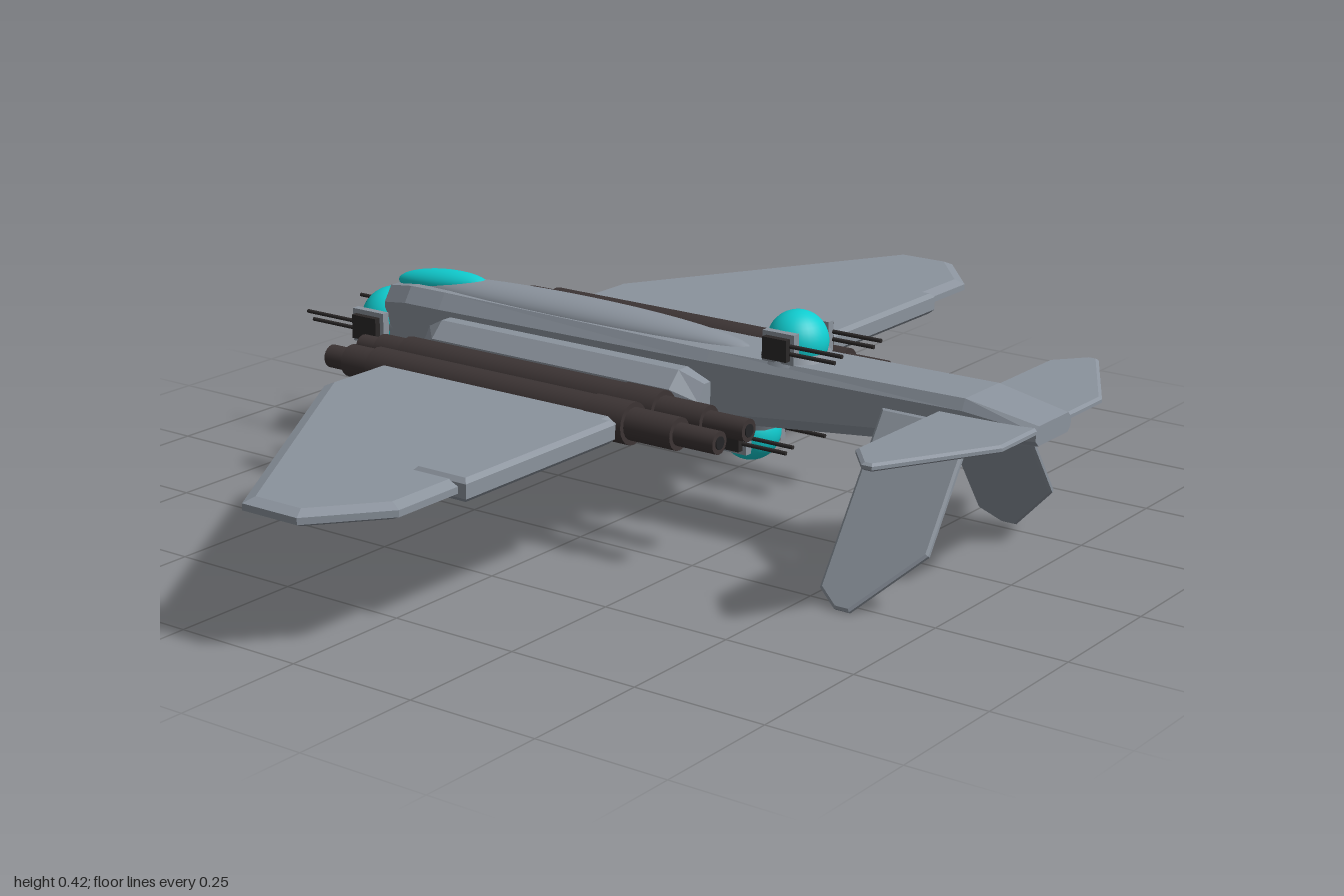
import * as THREE from 'three';

const mat = (name, color) => new THREE.MeshStandardMaterial({ name, color });

export function createModel() {
  const model = new THREE.Group();
  model.name = 'gunship';
  const hull = mat('hull grey', 0x8b939d);
  const podMat = mat('pod brown', 0x3c3434);
  const glass = mat('cyan glass', 0x10cdd0);
  const gunMat = mat('gun metal', 0x2b2828);
  const bayMat = mat('bay black', 0x252527);

  const add = (name, geo, material, parent = model, x = 0, y = 0, z = 0) => {
    const m = new THREE.Mesh(geo, material);
    m.name = name;
    m.position.set(x, y, z);
    parent.add(m);
    return m;
  };

  // Chamfered-box loft; rows are [z, half width, bottom, top, top chamfer x, y, bottom chamfer x, y]
  const loft = (rows) => {
    const rings = rows.map(([z, w, b, t, tx, ty, bx, by]) => [
      [w, b + by], [w, t - ty], [w - tx, t], [tx - w, t],
      [-w, t - ty], [-w, b + by], [bx - w, b], [w - bx, b],
    ].map(([x, y]) => [x, y, z]));
    const p = [];
    const tri = (...v) => v.forEach((c) => p.push(...c));
    for (let i = 0; i < rings.length - 1; i++) {
      const a = rings[i], c = rings[i + 1];
      for (let j = 0; j < 8; j++) {
        const k = (j + 1) % 8;
        tri(a[j], a[k], c[k]);
        tri(a[j], c[k], c[j]);
      }
    }
    const first = rings[0], last = rings[rings.length - 1];
    for (let j = 1; j < 7; j++) {
      tri(first[0], first[j + 1], first[j]);
      tri(last[0], last[j], last[j + 1]);
    }
    const g = new THREE.BufferGeometry();
    g.setAttribute('position', new THREE.Float32BufferAttribute(p, 3));
    g.computeVertexNormals();
    return g;
  };

  // Flat bevelled plate from an x-z outline, centred on y = 0
  const plate = (pts, thick, bevelH, bevelW) => {
    const shape = new THREE.Shape(pts.map(([x, z]) => new THREE.Vector2(x, z)));
    const g = new THREE.ExtrudeGeometry(shape, {
      depth: thick - 2 * bevelH, bevelEnabled: true, bevelThickness: bevelH,
      bevelSize: bevelW, bevelOffset: -bevelW, bevelSegments: 1,
    });
    return g.rotateX(Math.PI / 2).translate(0, thick / 2 - bevelH, 0);
  };

  // Fuselage, shoulders and belly
  add('fuselage', loft([
    [-0.64, 0.05, 0.2, 0.325, 0.02, 0.03, 0.02, 0.03],
    [-0.57, 0.07, 0.165, 0.338, 0.02, 0.03, 0.02, 0.03],
    [-0.48, 0.075, 0.15, 0.34, 0.02, 0.03, 0.01, 0.02],
    [0.15, 0.072, 0.2, 0.335, 0.012, 0.02, 0.012, 0.02],
    [0.68, 0.067, 0.256, 0.34, 0.01, 0.02, 0.012, 0.02],
    [0.82, 0.06, 0.28, 0.315, 0.01, 0.01, 0.01, 0.01],
  ]), hull);
  add('shoulders', loft([
    [-0.49, 0.11, 0.17, 0.28, 0.02, 0.03, 0.04, 0.04],
    [-0.45, 0.13, 0.154, 0.3, 0.03, 0.03, 0.045, 0.05],
    [0.11, 0.13, 0.198, 0.3, 0.03, 0.03, 0.03, 0.02],
    [0.16, 0.11, 0.21, 0.28, 0.02, 0.03, 0.03, 0.02],
  ]), hull);
  const bay = add('bellyBay', new THREE.BoxGeometry(0.15, 0.008, 0.56), bayMat, model, 0, 0.174, -0.17);
  bay.rotation.x = -Math.atan2(0.044, 0.56);

  // Rounded spine and canopy
  add('spine', new THREE.SphereGeometry(1, 32, 20).scale(0.055, 0.035, 0.42), hull, model, 0, 0.33, -0.22);
  const canopy = add('canopy', new THREE.SphereGeometry(1, 28, 18).scale(0.033, 0.026, 0.113), glass, model, 0, 0.341, -0.53);
  canopy.rotation.x = -0.09;

  // Horizontal tail
  add('tailplane', plate([
    [-0.32, 0.63], [0.32, 0.63], [0.38, 0.68], [0.38, 0.7],
    [0.17, 0.82], [-0.17, 0.82], [-0.38, 0.7], [-0.38, 0.68],
  ], 0.014, 0.004, 0.006), hull, model, 0, 0.305, 0);

  for (const s of [1, -1]) {
    const side = s > 0 ? 'left' : 'right';
    const mirror = (pts) => pts.map(([x, z]) => [s * x, z]);

    // Wing with flap
    add(side + 'Wing', plate(mirror([
      [0.08, -0.44], [0.44, -0.44], [1, -0.1], [1, 0.02], [0.875, 0.125], [0.08, 0.125],
    ]), 0.03, 0.009, 0.02), hull, model, 0, 0.248, 0);
    add(side + 'Flap', plate(mirror([
      [0.33, 0.025], [0.73, 0.025], [0.73, 0.142], [0.33, 0.142],
    ]), 0.042, 0.008, 0.008), hull, model, 0, 0.248, 0);

    // Splayed lower fin
    const fin = add(side + 'LowerFin', plate(mirror([
      [0, 0.53], [0, 0.71], [0.235, 0.71], [0.36, 0.6], [0.36, 0.57], [0.33, 0.53],
    ]), 0.012, 0.003, 0.005), hull, model, s * 0.078, 0.3, 0);
    fin.rotation.z = -s * Math.atan2(0.3, 0.205);

    // Stepped twin pods: each row is start z, end z, radius
    for (const x of [0.18, 0.268]) {
      const pod = new THREE.Group();
      pod.name = side + (x < 0.2 ? 'InnerPod' : 'OuterPod');
      pod.position.set(s * x, 0.246, 0);
      model.add(pod);
      [[-0.58, -0.5, 0.022], [-0.53, -0.44, 0.031], [-0.465, 0.07, 0.037],
        [0.05, 0.135, 0.039], [0.13, 0.235, 0.03], [0.22, 0.32, 0.021]].forEach(([a, b, r]) => {
        add('podSection', new THREE.CylinderGeometry(r, r, b - a, 20).rotateX(Math.PI / 2), podMat, pod, 0, 0, (a + b) / 2);
      });
      for (const [z, d] of [[-0.581, -1], [0.321, 1]]) {
        add('podBore', new THREE.CylinderGeometry(0.012, 0.012, 0.004, 16).rotateX(Math.PI / 2), bayMat, pod, 0, 0, z - d * 0.001);
      }
    }
  }

  // Ball turrets with side gun housings; dir is the firing direction along z
  const turret = (name, y, z, r, dir, gunX, reach) => {
    const g = new THREE.Group();
    g.name = name;
    g.position.set(0, y, z);
    model.add(g);
    add('ball', new THREE.SphereGeometry(r, 32, 20), glass, g);
    for (const s of [1, -1]) {
      add('gunFrame', new THREE.BoxGeometry(0.016, r * 1.0, r * 1.2), hull, g, s * (gunX - 0.008), 0, 0);
      add('gunHousing', new THREE.BoxGeometry(0.026, r * 0.72, r * 0.92), gunMat, g, s * gunX, 0, 0);
      for (const dy of [-0.007, 0.007]) {
        const len = reach - (dy > 0 ? 0 : 0.015);
        add('barrel', new THREE.CylinderGeometry(0.004, 0.004, len, 8).rotateX(Math.PI / 2), gunMat, g, s * gunX, dy, dir * len / 2);
      }
    }
    return g;
  };
  const nose = turret('noseTurret', 0.246, -0.66, 0.066, -1, 0.078, 0.16);
  add('collar', new THREE.CylinderGeometry(0.058, 0.058, 0.03, 8).rotateX(Math.PI / 2), hull, nose, 0, 0, 0.035);
  const top = turret('dorsalTurret', 0.365, 0.3, 0.056, 1, 0.063, 0.135);
  add('collar', new THREE.CylinderGeometry(0.06, 0.068, 0.018, 12), hull, top, 0, -0.025, 0);
  const low = turret('ventralTurret', 0.18, 0.2, 0.056, 1, 0.063, 0.135);
  add('collar', new THREE.CylinderGeometry(0.068, 0.06, 0.018, 12), hull, low, 0, 0.024, 0);

  return model;
}
